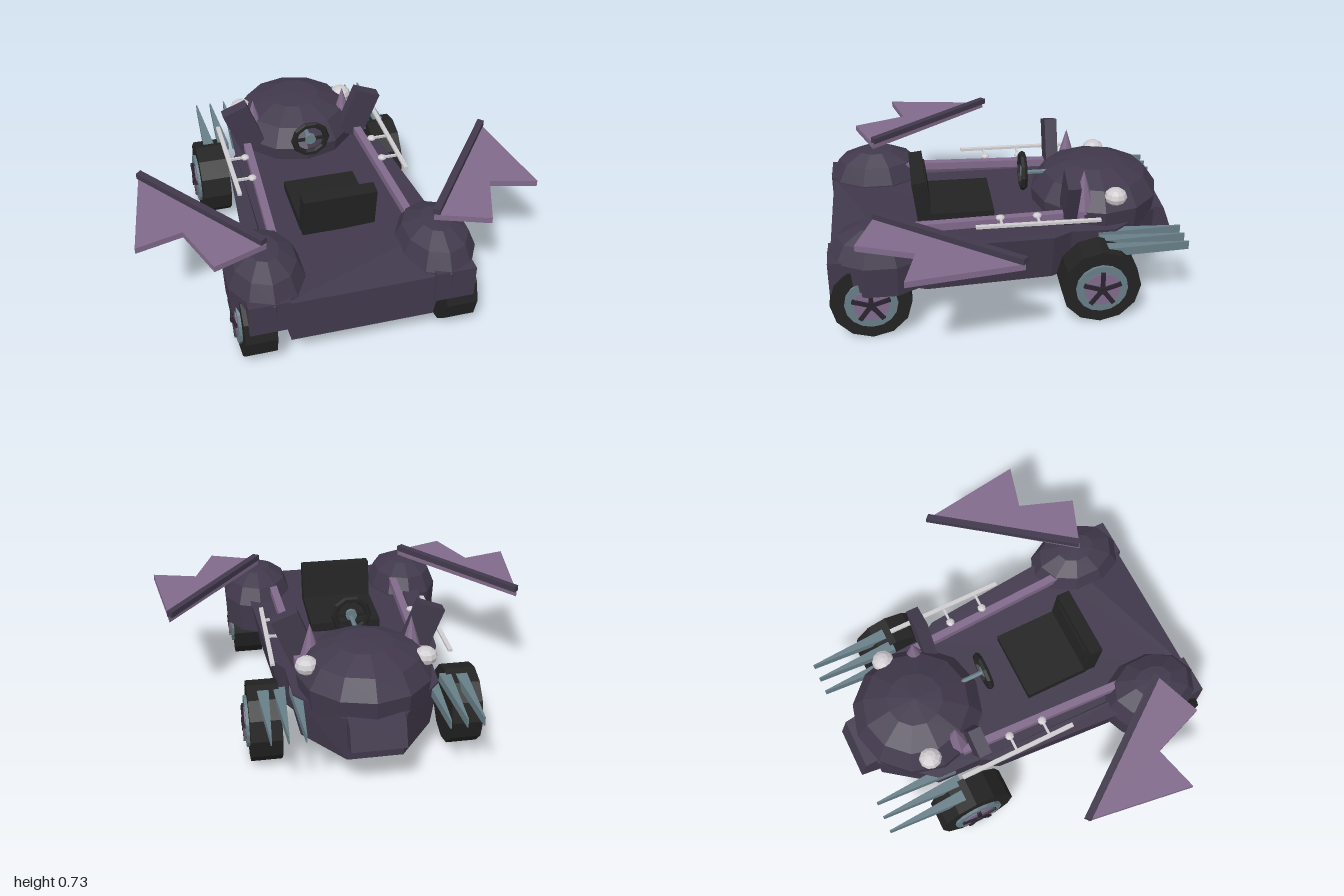
import * as THREE from 'three';

const paint = (name, color) => {
  const m = new THREE.MeshStandardMaterial({ color });
  m.name = name;
  return m;
};

export function createModel() {
  const body = paint('dark violet', 0x41394c);
  const purple = paint('dusty purple', 0x816a8b);
  const black = paint('rubber black', 0x232323);
  const teal = paint('slate teal', 0x687f88);
  const white = paint('pale grey', 0xcfcccf);
  const dark = paint('spoke dark', 0x2a2430);

  const car = new THREE.Group();
  car.name = 'car';

  // Faceted mesh at a position
  const add = (parent, name, geo, mat, x = 0, y = 0, z = 0) => {
    const g = geo.index ? geo.toNonIndexed() : geo;
    g.computeVertexNormals();
    const m = new THREE.Mesh(g, mat);
    m.name = name;
    m.position.set(x, y, z);
    parent.add(m);
    return m;
  };
  const box = (w, h, d) => new THREE.BoxGeometry(w, h, d);
  const axle = (r, w, n) => new THREE.CylinderGeometry(r, r, w, n).rotateZ(Math.PI / 2);
  // Plan outline in x and z, extruded between two heights
  const slab = (pts, y0, y1) => {
    const shape = new THREE.Shape(pts.map(([x, z]) => new THREE.Vector2(x, z)));
    return new THREE.ExtrudeGeometry(shape, { depth: y1 - y0, bevelEnabled: false })
      .rotateX(Math.PI / 2).translate(0, y1, 0);
  };
  // Closed dome from a profile of radius and height
  const dome = (pts, n) => new THREE.LatheGeometry(pts.map(([r, y]) => new THREE.Vector2(r, y)), n);

  // Hull: tapered nose, top that drops towards both ends, sides leaning inwards below
  const half = [[0.39, 0.88], [0.4, 0.6], [0.48, 0.42], [0.43, -0.22], [0.37, -0.32], [0.36, -0.55], [0.15, -0.8]];
  const outline = [...half, ...half.map(([x, z]) => [-x, z]).reverse()];
  const hull = slab(outline, 0, 1);
  const hp = hull.attributes.position;
  for (let i = 0; i < hp.count; i++) {
    const z = hp.getZ(i);
    const top = z > 0.6 ? 0.44 - (z - 0.6) * 0.14 : 0.41 + (z + 0.32) * 0.035;
    const isTop = hp.getY(i) > 0.5;
    hp.setY(i, isTop ? top : 0.165);
    if (!isTop) hp.setX(i, hp.getX(i) * 0.9);
  }
  add(car, 'hull', hull, body);

  // Nose block under the hood
  const nose = box(0.28, 0.2, 0.18);
  const np = nose.attributes.position;
  for (let i = 0; i < np.count; i++) {
    if (np.getZ(i) < 0) {
      np.setX(i, np.getX(i) * 0.95);
      np.setZ(i, np.getY(i) > 0 ? -0.06 : -0.1);
      np.setY(i, np.getY(i) > 0 ? 0.06 : -0.05);
    }
  }
  add(car, 'nose', nose, body, 0, 0.32, -0.8);

  // Domed hood
  add(car, 'hood', dome([[0, 0.36], [0.32, 0.36], [0.335, 0.48], [0.27, 0.575], [0.14, 0.63], [0, 0.642]], 12),
    body, 0, 0, -0.5);

  // Seat
  add(car, 'seatCushion', box(0.37, 0.06, 0.34), black, 0, 0.425, 0.22);
  add(car, 'seatBack', box(0.37, 0.22, 0.07), black, 0, 0.525, 0.42).rotation.x = 0.12;
  add(car, 'seatPanel', box(0.3, 0.13, 0.008), black, 0, 0.54, 0.383).rotation.x = 0.12;

  // Steering wheel and column
  add(car, 'steeringWheel', new THREE.TorusGeometry(0.088, 0.017, 6, 10), black, 0, 0.58, -0.12);
  add(car, 'steeringHub', new THREE.CylinderGeometry(0.03, 0.03, 0.02, 8).rotateX(Math.PI / 2), teal, 0, 0.58, -0.12);
  add(car, 'steeringSpoke', box(0.17, 0.015, 0.012), black, 0, 0.58, -0.12);
  add(car, 'steeringColumn', new THREE.CylinderGeometry(0.012, 0.012, 0.16, 6).rotateX(Math.PI / 2), teal, 0, 0.57, -0.2);

  for (const s of [1, -1]) {
    const side = new THREE.Group();
    side.name = s > 0 ? 'leftSide' : 'rightSide';
    car.add(side);

    // Wheels with rim, disc and five spokes
    for (const z of [-0.44, 0.695]) {
      const wheel = new THREE.Group();
      wheel.name = z < 0 ? 'frontWheel' : 'rearWheel';
      wheel.position.set(0, 0.2, z);
      side.add(wheel);
      add(wheel, 'tyre', axle(0.2, 0.155, 12), black, s * 0.495);
      add(wheel, 'rim', axle(0.13, 0.05, 16), teal, s * 0.562);
      add(wheel, 'disc', axle(0.09, 0.05, 16), purple, s * 0.567);
      add(wheel, 'hubCap', axle(0.022, 0.06, 8), dark, s * 0.575);
      for (let i = 0; i < 5; i++) {
        const spoke = box(0.012, 0.095, 0.022).translate(0, 0.05, 0).rotateX(i * Math.PI * 0.4);
        add(wheel, 'spoke', spoke, dark, s * 0.595);
      }
    }

    // Rear fender
    const fender = dome([[0, 0.25], [0.245, 0.25], [0.255, 0.41], [0.205, 0.5], [0.1, 0.55], [0, 0.556]], 10)
      .scale(0.76, 1, 1);
    add(side, 'rearFender', fender, body, s * 0.425, 0, 0.64);
    add(side, 'fenderPanel', box(0.2, 0.17, 0.12), body, s * 0.45, 0.335, 0.83);

    // Bat wing: membrane and leading spar
    const mirror = (pts) => pts.map(([x, z]) => [s * x, z]);
    add(side, 'wingMembrane', slab(mirror([[0.92, -0.005], [1, 0.535], [0.77, 0.475], [0.67, 0.75], [0.41, 0.655]]),
      0.555, 0.586), purple);
    add(side, 'wingSpar', slab(mirror([[0.905, -0.02], [0.93, 0.005], [0.435, 0.665], [0.405, 0.645]]),
      0.586, 0.616), body);

    // Cockpit rail
    add(side, 'cockpitRail', slab(mirror([[0.285, -0.39], [0.325, -0.39], [0.365, 0.49], [0.325, 0.49]]),
      0.455, 0.495), purple);

    // Side rod on two brackets
    add(side, 'sideRod', box(0.022, 0.013, 0.62), white, s * 0.44, 0.51, -0.14);
    for (const z of [-0.145, 0.04]) {
      add(side, 'rodBracket', box(0.11, 0.012, 0.012), white, s * 0.39, 0.505, z);
      add(side, 'bracketKnob', new THREE.SphereGeometry(0.023, 8, 6).scale(1, 0.6, 1), white, s * 0.35, 0.505, z);
    }

    // Front spikes
    for (const x of [0.335, 0.415, 0.495]) {
      add(side, 'frontSpike', slab(mirror([[x - 0.03, -0.46], [x + 0.03, -0.46], [x + 0.003, -0.89], [x - 0.003, -0.89]]),
        0.345, 0.39), teal);
    }

    // Headlight, horn and leaning ear
    add(side, 'headlight', new THREE.SphereGeometry(0.058, 10, 6).scale(1, 0.78, 1), white, s * 0.288, 0.553, -0.555);
    add(side, 'horn', new THREE.ConeGeometry(0.065, 0.22, 8), purple, s * 0.25, 0.58, -0.395);
    add(side, 'ear', box(0.14, 0.27, 0.065), body, s * 0.318, 0.58, -0.315).rotation.z = -s * 0.37;
  }
  return car;
}
